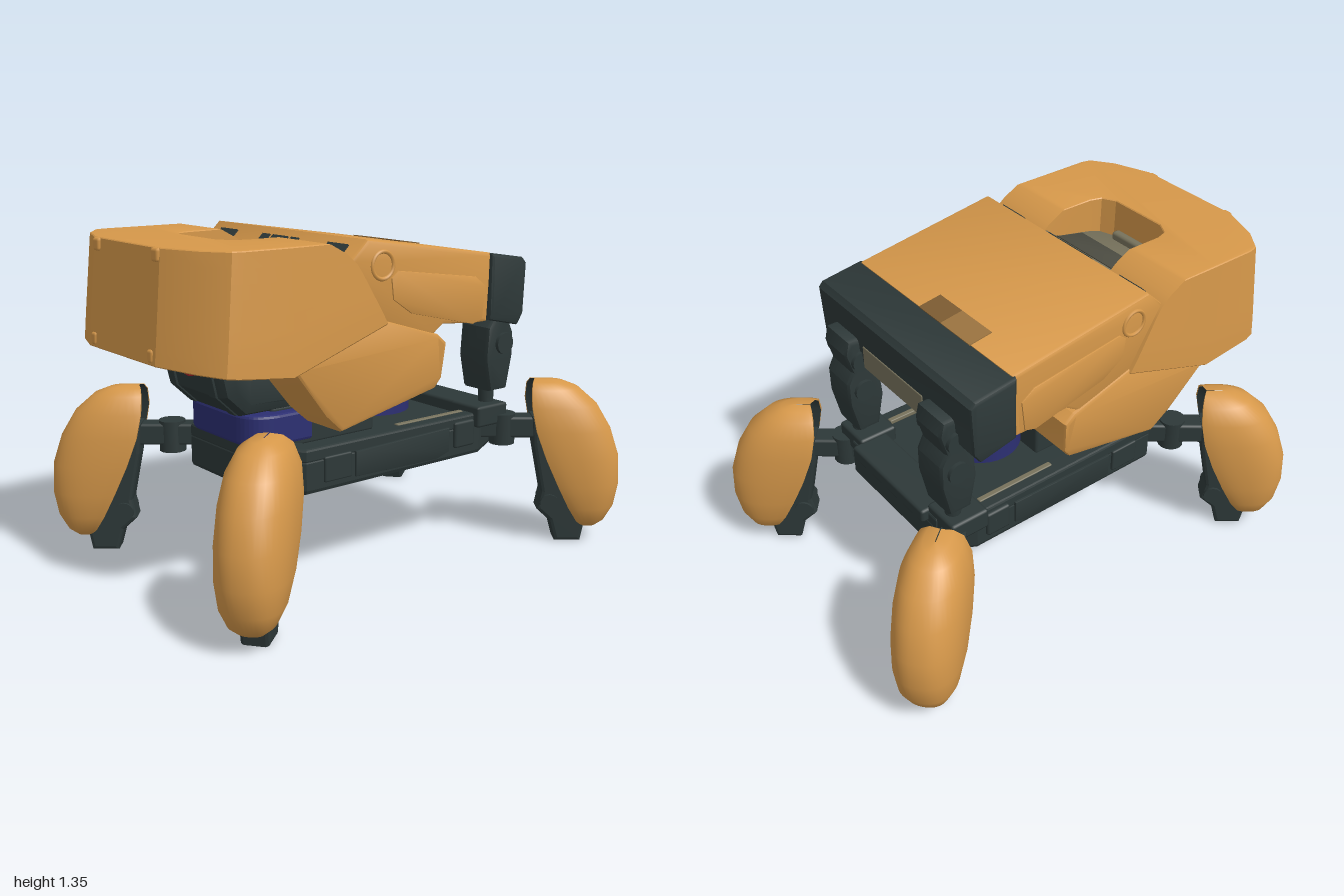
import * as THREE from 'three';
import { toCreasedNormals } from 'three/addons/utils/BufferGeometryUtils.js';
import { RoundedBoxGeometry } from 'three/addons/geometries/RoundedBoxGeometry.js';

const paint = (name, color) => Object.assign(new THREE.MeshStandardMaterial({ color }), { name });
const M = {
  orange: paint('orange armour', 0xd6984a),
  dark: paint('dark metal', 0x2d3838),
  blue: paint('blue ring', 0x2c2f72),
  red: paint('red lens', 0xa8242a),
  olive: paint('olive lining', 0x77725c),
  deepOlive: paint('deep olive lining', 0x4c4c42),
  brown: paint('worn paint', 0x9c7440),
  umber: paint('dark worn paint', 0x7d5c32),
};

function add(parent, name, geo, mat, x = 0, y = 0, z = 0) {
  const m = new THREE.Mesh(geo, mat);
  m.name = name;
  m.position.set(x, y, z);
  parent.add(m);
  return m;
}
const box = (w, h, d, r = 0.012) => new RoundedBoxGeometry(w, h, d, 1, Math.min(r, w / 3, h / 3, d / 3));
const shapeOf = pts => new THREE.Shape(pts.map(p => new THREE.Vector2(p[0], p[1])));
const mirrored = half => [...half, ...half.map(([x, z]) => [-x, z]).reverse()];

// Extrudes a shape by depth, bevel included, from 0 to depth; bevel stays inside the outline
function extrude(shape, depth, bevel = 0.012, steps = 1) {
  const g = new THREE.ExtrudeGeometry(shape, {
    depth: depth - 2 * bevel, steps, bevelEnabled: bevel > 0, bevelSize: bevel,
    bevelThickness: bevel, bevelOffset: -bevel, bevelSegments: 2, curveSegments: 10,
  });
  return g.translate(0, 0, bevel);
}
// Side profile of [z, y] points between x0 and x1
function sideProfile(pts, x0, x1, bevel) {
  const g = extrude(shapeOf(pts.map(([z, y]) => [-z, y])), x1 - x0, bevel);
  return toCreasedNormals(g.rotateY(Math.PI / 2).translate(x0, 0, 0), 0.5);
}
// Plan of [x, z] points between heights y0 and y1
function plan(shape, y0, y1, bevel, steps) {
  return extrude(shape, y1 - y0, bevel, steps).rotateX(Math.PI / 2).translate(0, y1, 0);
}
function lerpTable(table, v) {
  if (v <= table[0][0]) return table[0][1];
  for (let i = 1; i < table.length; i++) {
    const [a, p] = table[i - 1], [b, q] = table[i];
    if (v <= b) return p + (q - p) * (v - a) / (b - a);
  }
  return table[table.length - 1][1];
}
function loft(rows) {
  const n = rows[0].length, idx = [];
  for (let i = 0; i < rows.length - 1; i++) for (let j = 0; j < n - 1; j++) {
    const a = i * n + j;
    idx.push(a, a + 1, a + n, a + 1, a + n + 1, a + n);
  }
  const g = new THREE.BufferGeometry();
  g.setAttribute('position', new THREE.Float32BufferAttribute(rows.flat(2), 3));
  g.setIndex(idx);
  g.computeVertexNormals();
  return g;
}

// Leg: local x points outward from the corner
function makeLeg() {
  const leg = new THREE.Group();
  // y, inner edge, outer edge, half width
  const sections = [
    [0.703, 0.01, 0.08, 0.002], [0.696, -0.002, 0.13, 0.05], [0.67, -0.01, 0.195, 0.09], [0.6, -0.01, 0.275, 0.122],
    [0.5, 0.01, 0.335, 0.136], [0.38, 0.055, 0.375, 0.138], [0.26, 0.11, 0.383, 0.132],
    [0.16, 0.16, 0.365, 0.115], [0.095, 0.2, 0.33, 0.085], [0.066, 0.23, 0.295, 0.05], [0.06, 0.262, 0.262, 0],
  ];
  const power = v => Math.sign(v) * Math.pow(Math.abs(v), 0.85);
  const sweep = 2.05, back = -power(Math.cos(sweep)), edge = power(Math.sin(sweep));
  add(leg, 'legShell', loft(sections.map(([y, a, b, w]) => {
    const r = (b - a) / (1 + back), row = [];
    for (let j = 0; j <= 28; j++) {
      const t = (j / 14 - 1) * sweep;
      row.push([b - r + r * power(Math.cos(t)), y, w * power(Math.sin(t))]);
    }
    return row;
  })), M.orange);
  // Flat orange lips either side of the recessed dark lining
  for (const [from, to] of [[1, 0.84], [-0.84, -1]])
    add(leg, 'shellLip', loft(sections.map(([y, a, , w]) => [[a, y, from * edge * w], [a, y, to * edge * w]])), M.orange);
  add(leg, 'shellLining', loft(sections.map(([y, a, b, w]) =>
    [0.84, 0.75, 0, -0.75, -0.84].map((k, i) => [a + (i % 4 ? 0.3 * (b - a) : 0), y, k * edge * w]))), M.dark);
  // Shin and foot
  const shin = [[0, 0.55], [0.1, 0.55], [0.2, 0.28], [0.24, 0.08], [0.225, 0], [0.115, 0],
    [0.09, 0.09], [0.035, 0.14], [0.05, 0.22], [0.01, 0.42]];
  add(leg, 'shin', extrude(shapeOf(shin), 0.11, 0.015).translate(0, 0, -0.055), M.dark);
  add(leg, 'ankle', new THREE.CylinderGeometry(0.04, 0.04, 0.13, 14).rotateX(Math.PI / 2), M.dark, 0.085, 0.17);
  // Shoulder linking to the chassis
  add(leg, 'shoulder', box(0.3, 0.09, 0.09), M.dark, -0.09, 0.5);
  add(leg, 'shoulderJoint', new THREE.CylinderGeometry(0.055, 0.055, 0.13, 16), M.dark, -0.12, 0.49);
  return leg;
}

function makeChassis() {
  const g = new THREE.Group();
  g.name = 'chassis';
  const outline = mirrored([[0.22, 0.585], [0.375, 0.45], [0.375, -0.45], [0.3, -0.59]]);
  add(g, 'chassisPlate', plan(shapeOf(outline), 0.395, 0.54, 0.02), M.dark);
  const rim = shapeOf(outline);
  rim.holes.push(new THREE.Path(outline.map(([x, z]) => new THREE.Vector2(x * 0.84, z * 0.88))));
  add(g, 'chassisRim', plan(rim, 0.52, 0.575, 0.01), M.dark);
  add(g, 'rearDeck', box(0.5, 0.06, 0.16), M.dark, 0, 0.56, -0.54);
  for (const s of [1, -1]) {
    // Side panels
    add(g, 'sidePanel', sideProfile([[0.22, 0.53], [0.22, 0.43], [-0.2, 0.42], [-0.27, 0.44], [-0.27, 0.54]], -0.008, 0.008, 0.003), M.dark, s * 0.377);
    add(g, 'sideHatch', box(0.02, 0.1, 0.13), M.dark, s * 0.376, 0.485, 0.305);
    add(g, 'sideLatch', box(0.03, 0.11, 0.11), M.dark, s * 0.375, 0.5, -0.355);
    add(g, 'armSocket', box(0.17, 0.09, 0.17), M.dark, s * 0.32, 0.56, -0.5);
    add(g, 'deckStrip', box(0.024, 0.02, 0.36, 0.004), M.olive, s * 0.315, 0.57, -0.22);
    // Underside bosses and ribs
    for (const z of [0.36, -0.02, -0.38]) {
      add(g, 'underBoss', new THREE.CylinderGeometry(0.06, 0.07, 0.03, 16), M.dark, s * 0.18, 0.392, z);
      add(g, 'underRib', box(0.2, 0.02, 0.03), M.dark, s * 0.18, 0.393, z - 0.14);
    }
    add(g, 'underRail', box(0.03, 0.02, 0.85), M.dark, s * 0.29, 0.393, -0.02);
  }
  // Turntable rings
  const ring = new THREE.Shape().moveTo(0.25, 0.33).lineTo(0.25, 0.48)
    .quadraticCurveTo(0.24, 0.605, 0.12, 0.605).lineTo(-0.12, 0.605)
    .quadraticCurveTo(-0.24, 0.605, -0.25, 0.48).lineTo(-0.25, 0.33);
  add(g, 'frontRing', plan(ring, 0.57, 0.69, 0.012), M.blue);
  add(g, 'rearRing', new THREE.CylinderGeometry(0.17, 0.17, 0.12, 32), M.blue, 0, 0.632, -0.16);
  add(g, 'ringCore', box(0.4, 0.17, 0.5), M.dark, 0, 0.62, 0.23);
  return g;
}

function makeHood() {
  const g = new THREE.Group();
  g.name = 'hood';
  // U-shaped shell with the cockpit opening at its back
  const half = [[0.24, 0.955], [0.4, 0.895], [0.49, 0.83], [0.5, 0.79], [0.5, 0.6], [0.5, 0.4], [0.2, 0.4], [0.2, 0.58], [0.185, 0.63], [0.13, 0.66]];
  const geo = plan(shapeOf(mirrored(half)), 0, 1, 0.012, 8);
  const p = geo.attributes.position;
  const underside = [[0.4, 1.035], [0.6, 0.89], [1, 0.945]], back = [[1.035, -0.225], [1.26, -0.09], [1.32, -0.02], [1.345, 0.04]];
  for (let i = 0; i < p.count; i++) {
    const z = p.getZ(i), t = 1 - p.getY(i);
    const y = 1.345 - t * (1.345 - lerpTable(underside, z));
    p.setXYZ(i, p.getX(i) * (1 + 0.03 * Math.min(t, 0.8)), y, z > 0.7 ? z + 0.04 * t : z < 0.45 ? z + lerpTable(back, y) : z);
  }
  geo.computeVertexNormals();
  add(g, 'hoodShell', toCreasedNormals(geo, 0.3), M.orange);
  // Side pods below the hood
  const pod = [[0.6, 0.915], [0.44, 0.72], [0.36, 0.65], [-0.09, 0.75], [-0.12, 0.79], [-0.13, 0.93], [-0.09, 0.965], [0.2, 1.055]];
  for (const s of [1, -1]) {
    const pg = sideProfile(pod, s > 0 ? 0.245 : -0.505, s > 0 ? 0.505 : -0.245, 0.015);
    const q = pg.attributes.position;
    for (let i = 0; i < q.count; i++)
      if (Math.abs(q.getX(i)) > 0.4) q.setX(i, q.getX(i) - s * Math.max(0, 0.9 - q.getY(i)) * 0.12);
    add(g, 'sidePod', toCreasedNormals(pg, 0.5), M.orange);
    // Corner lugs
    add(g, 'upperLug', box(0.05, 0.05, 0.04), M.orange, s * 0.215, 1.318, 0.948);
    add(g, 'lowerLug', box(0.04, 0.05, 0.04), M.orange, s * 0.21, 0.972, 0.978);
  }
  // Cockpit lining, rising towards the slab behind it
  add(g, 'cockpitFloor', sideProfile([[0.3, 1.285], [0.345, 1.28], [0.4, 1.235], [0.66, 1.18], [0.66, 1.0], [0.22, 1.0]], -0.205, 0.205, 0.005), M.olive);
  add(g, 'cockpitSeat', sideProfile([[0.39, 1.247], [0.4, 1.241], [0.53, 1.213], [0.53, 1.19], [0.39, 1.2]], -0.19, 0.19, 0.002), M.deepOlive);
  add(g, 'cockpitLip', box(0.22, 0.04, 0.04), M.olive, 0, 1.2, 0.645);
  // Head below the hood with its lens
  const head = [[0.6, 0.95], [0.71, 0.91], [0.715, 0.86], [0.695, 0.77], [0.61, 0.69], [-0.25, 0.69], [-0.1, 0.97]];
  add(g, 'head', sideProfile(head, -0.225, 0.225, 0.05), M.dark);
  for (const x of [-0.14, 0.14])
    add(g, 'headBand', sideProfile([[0.6, 0.95], [0.718, 0.91], [0.724, 0.86], [0.705, 0.77], [0.62, 0.69], [0.5, 0.69]], x - 0.025, x + 0.025, 0.006), M.dark);
  const lens = new THREE.Shape().moveTo(-0.055, 0.93).lineTo(-0.055, 0.875)
    .quadraticCurveTo(-0.05, 0.828, 0, 0.828).quadraticCurveTo(0.05, 0.828, 0.055, 0.875).lineTo(0.055, 0.93);
  add(g, 'lens', extrude(lens, 0.03, 0.004), M.red, 0, 0, 0.693);
  return g;
}

function makeRearSlab() {
  const g = new THREE.Group();
  g.name = 'rearSlab';
  add(g, 'slabShell', sideProfile([[0.26, 1.347], [-0.37, 1.255], [-0.355, 0.985], [-0.3, 0.985], [-0.12, 1.0], [-0.06, 0.96], [0.19, 1.03], [0.335, 1.275]], -0.495, 0.495, 0.014), M.orange);
  add(g, 'slabUnderside', sideProfile([[-0.36, 0.99], [-0.36, 0.975], [-0.3, 0.977], [-0.125, 0.992], [-0.125, 1.0]], -0.4, 0.4, 0.002), M.dark);
  add(g, 'rearBand', sideProfile([[-0.36, 1.253], [-0.54, 1.227], [-0.56, 1.205], [-0.55, 1.0], [-0.52, 0.955], [-0.36, 0.99]], -0.508, 0.508, 0.015), M.dark);
  add(g, 'rearPanel', box(0.4, 0.1, 0.012), M.olive, 0, 1.035, -0.552);
  // Vents on the front slope
  for (const [x, w] of [[0, 0.1], [0.095, 0.05], [-0.095, 0.05], [0.36, 0.12], [-0.36, 0.12]])
    add(g, 'vent', new THREE.BoxGeometry(w, 0.008, 0.035), M.dark, x, 1.311, 0.3).rotation.x = 0.76;
  // Worn patches
  for (const [x, w, m] of [[-0.16, 0.18, M.brown], [0, 0.14, M.umber]])
    add(g, 'wornPatch', new THREE.BoxGeometry(w, 0.004, 0.1), m, x, 1.264, -0.326).rotation.x = -0.145;
  for (const s of [1, -1]) {
    // Raised side panel and round cap
    add(g, 'slabSidePanel', sideProfile([[0.15, 1.2], [0.12, 1.225], [-0.28, 1.17], [-0.335, 1.13], [-0.32, 1.0], [-0.27, 0.985], [0.05, 1.06], [0.14, 1.12]], -0.006, 0.006, 0.003), M.orange, s * 0.495);
    add(g, 'roundCap', new THREE.TorusGeometry(0.05, 0.008, 6, 28).rotateY(Math.PI / 2), M.orange, s * 0.495, 1.25, 0.19);
    // Folded rear arms resting on the chassis
    const arm = [[-0.5, 1.1], [-0.6, 1.1], [-0.615, 1.04], [-0.59, 0.95], [-0.615, 0.9], [-0.615, 0.8], [-0.585, 0.66], [-0.49, 0.66], [-0.46, 0.8], [-0.47, 0.93], [-0.5, 0.97]];
    add(g, 'rearArm', sideProfile(arm, s * 0.315 - 0.085, s * 0.315 + 0.085, 0.02), M.dark);
    for (const y of [0.86, 1.0])
      add(g, 'armJoint', new THREE.CylinderGeometry(0.045, 0.045, 0.2, 14).rotateZ(Math.PI / 2), M.dark, s * 0.315, y, -0.55);
    add(g, 'armPin', new THREE.CylinderGeometry(0.035, 0.03, 0.12, 12), M.dark, s * 0.33, 0.62, -0.53);
  }
  return g;
}

export function createModel() {
  const model = new THREE.Group();
  model.name = 'fourLeggedWalker';
  model.add(makeChassis(), makeHood(), makeRearSlab());
  for (const sx of [1, -1]) for (const sz of [1, -1]) {
    const leg = makeLeg();
    leg.name = (sz > 0 ? 'front' : 'rear') + (sx > 0 ? 'Left' : 'Right') + 'Leg';
    leg.position.set(0.46 * sx, 0, 0.67 * sz);
    leg.rotation.y = -Math.atan2(0.78 * sz, 0.625 * sx);
    model.add(leg);
  }
  return model;
}
